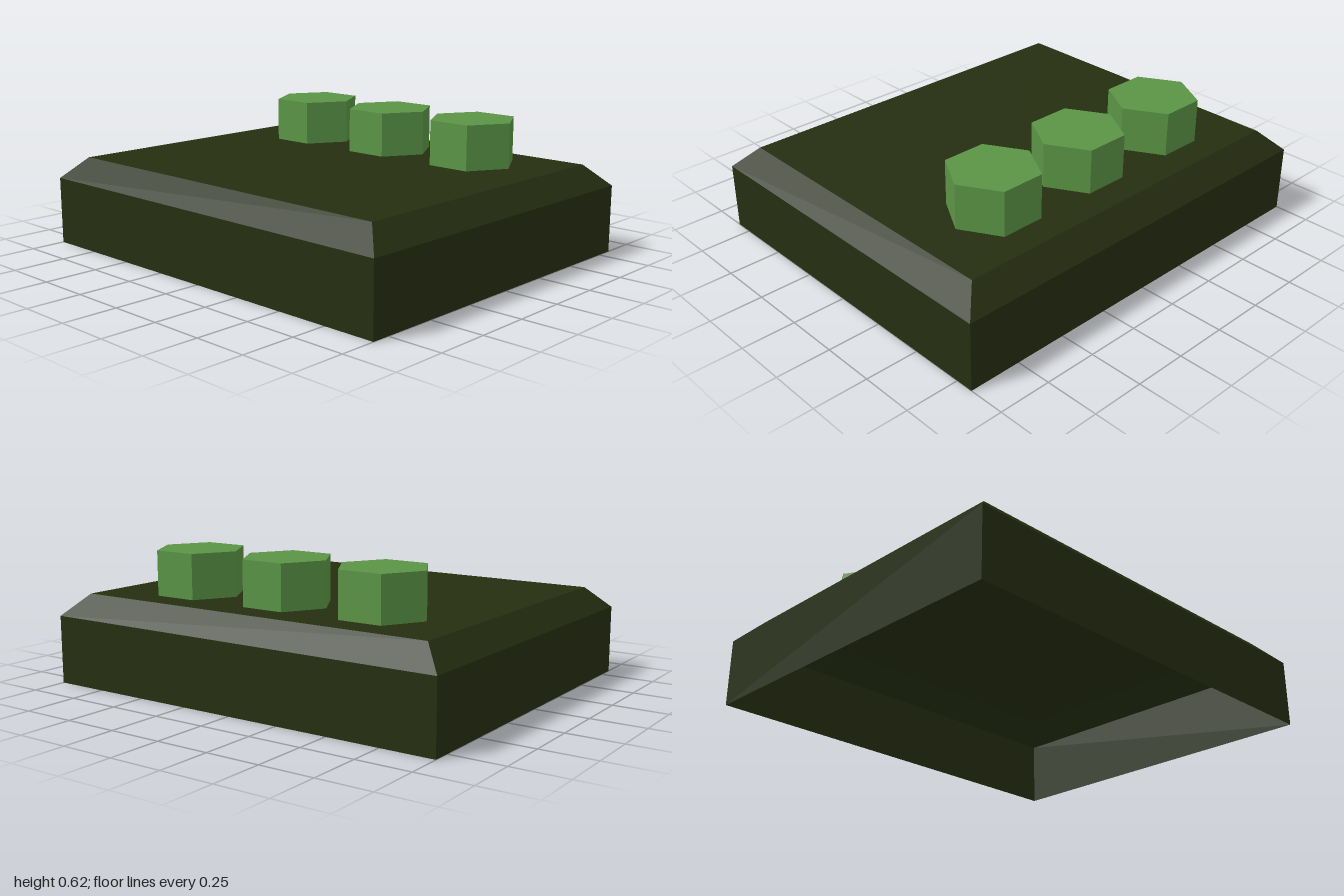
import * as THREE from 'three';

const darkGreen = new THREE.MeshStandardMaterial({ name: 'darkGreen', color: 0x252e10, flatShading: true, side: THREE.DoubleSide });
const leafGreen = new THREE.MeshStandardMaterial({ name: 'leafGreen', color: 0x5a9445, flatShading: true });

// Open-bottomed shell made of stacked rectangular rings, closed by a flat top
function shellGeometry(rings) {
  const positions = [];
  const indices = [];
  for (const [halfX, y, halfZ] of rings) {
    positions.push(-halfX, y, halfZ, halfX, y, halfZ, halfX, y, -halfZ, -halfX, y, -halfZ);
  }
  for (let ring = 0; ring < rings.length - 1; ring++) {
    for (let i = 0; i < 4; i++) {
      const a = ring * 4 + i;
      const b = ring * 4 + (i + 1) % 4;
      indices.push(a, b, b + 4, a, b + 4, a + 4);
    }
  }
  const t = (rings.length - 1) * 4;
  indices.push(t, t + 1, t + 2, t, t + 2, t + 3);

  const geometry = new THREE.BufferGeometry();
  geometry.setAttribute('position', new THREE.Float32BufferAttribute(positions, 3));
  geometry.setIndex(indices);
  const flat = geometry.toNonIndexed();
  flat.computeVertexNormals();
  return flat;
}

export function createModel() {
  const group = new THREE.Group();
  group.name = 'studdedPlate';

  // Hollow base: straight walls, bevelled rim, flat top
  const base = new THREE.Mesh(
    shellGeometry([[1, 0, 0.833], [1, 0.317, 0.833], [0.9, 0.417, 0.733]]),
    darkGreen
  );
  base.name = 'base';
  group.add(base);

  // Row of three hexagonal pegs, points facing sideways
  const pegProfile = [[0.208, 0], [0.208, 0.208], [0, 0.208]].map(([r, y]) => new THREE.Vector2(r, y));
  const pegGeometry = new THREE.LatheGeometry(pegProfile, 6, Math.PI / 6);
  ['rightPeg', 'middlePeg', 'leftPeg'].forEach((name, i) => {
    const peg = new THREE.Mesh(pegGeometry, leafGreen);
    peg.name = name;
    peg.position.set((i - 1) * 0.5, 0.417, -0.417);
    group.add(peg);
  });

  return group;
}
